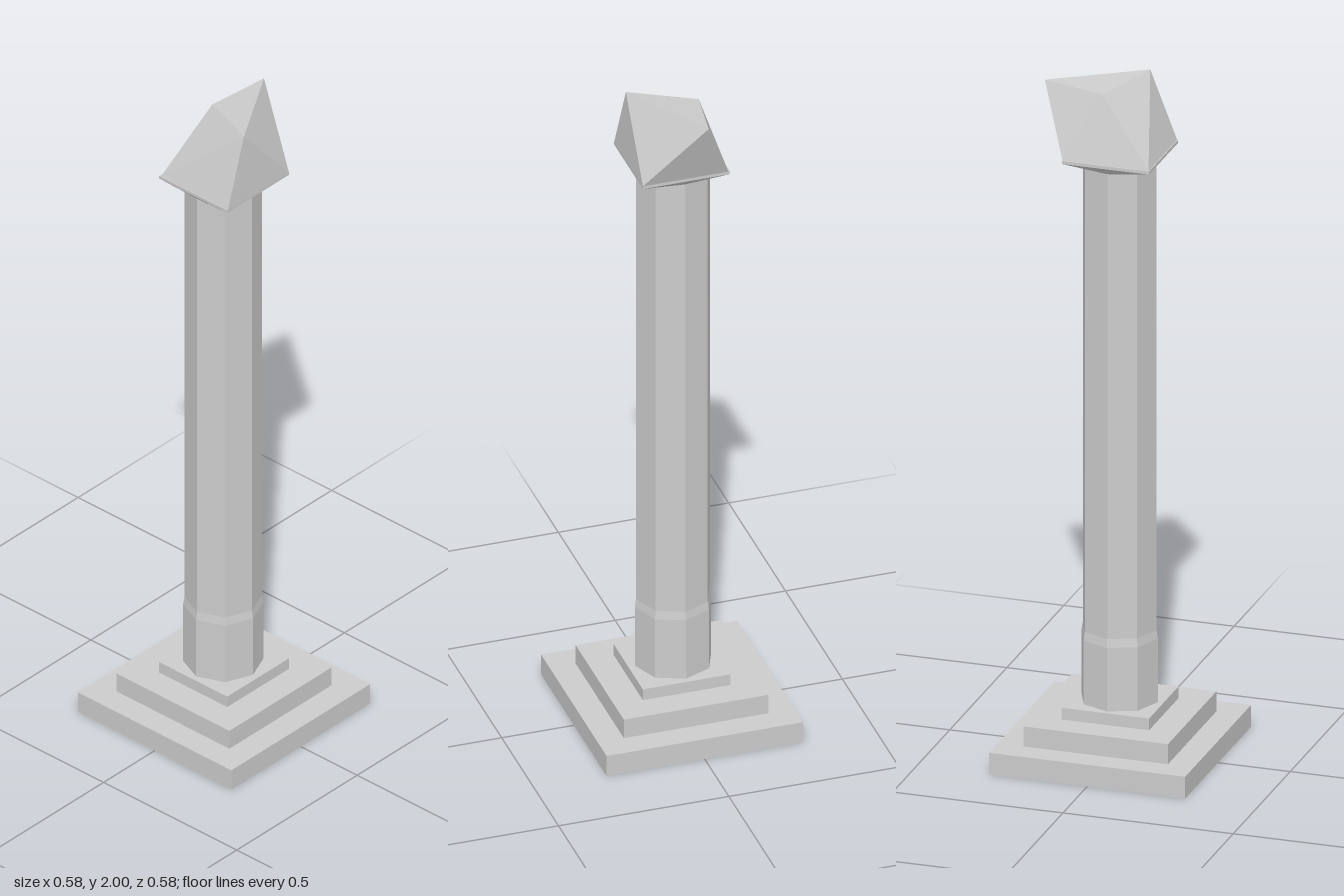
import * as THREE from 'three';
import { ConvexGeometry } from 'three/addons/geometries/ConvexGeometry.js';

export function createModel() {
  const model = new THREE.Group();
  const stone = new THREE.MeshStandardMaterial({ color: 0xcccccc, flatShading: true });
  const add = (name, geometry) => {
    const mesh = new THREE.Mesh(geometry, stone);
    mesh.name = name;
    model.add(mesh);
    return mesh;
  };
  const v = (x, y, z) => new THREE.Vector3(x, y, z);
  const square = (half, y) =>
    [[-1, 1], [1, 1], [1, -1], [-1, -1]].map(([x, z]) => v(x * half, y, z * half));

  // Stepped plinth: width, bottom, top
  [[0.576, 0, 0.065], [0.424, 0.065, 0.125], [0.257, 0.125, 0.16]].forEach(([w, y0, y1], i) => {
    add('plinthStep' + (i + 1), new THREE.BoxGeometry(w, y1 - y0, w)).position.y = (y0 + y1) / 2;
  });

  // Octagonal shaft with a slightly thicker foot
  const profile = [[0.112, 0.16], [0.112, 0.35], [0.108, 0.375], [0.108, 1.77]];
  const shaft = add('shaft', new THREE.LatheGeometry(profile.map(p => new THREE.Vector2(...p)), 8));
  shaft.position.x = -0.003;

  // Capital flaring from the octagon to a square
  const ring = Array.from({ length: 8 }, (_, i) => {
    const a = (i * Math.PI) / 4;
    return v(0.108 * Math.sin(a) - 0.003, 1.766, 0.108 * Math.cos(a));
  });
  add('capital', new ConvexGeometry([...ring, ...square(0.128, 1.787), ...square(0.128, 1.796)]));

  // Broken, faceted block on top, overhanging the back
  add('brokenTop', new ConvexGeometry([
    v(-0.123, 1.796, 0.125), v(0.128, 1.796, 0.125), v(0.128, 1.796, -0.128), v(-0.123, 1.796, -0.128),
    v(-0.069, 1.985, -0.028), v(0.119, 2, 0.049), v(-0.038, 1.996, -0.208),
  ]));

  return model;
}
